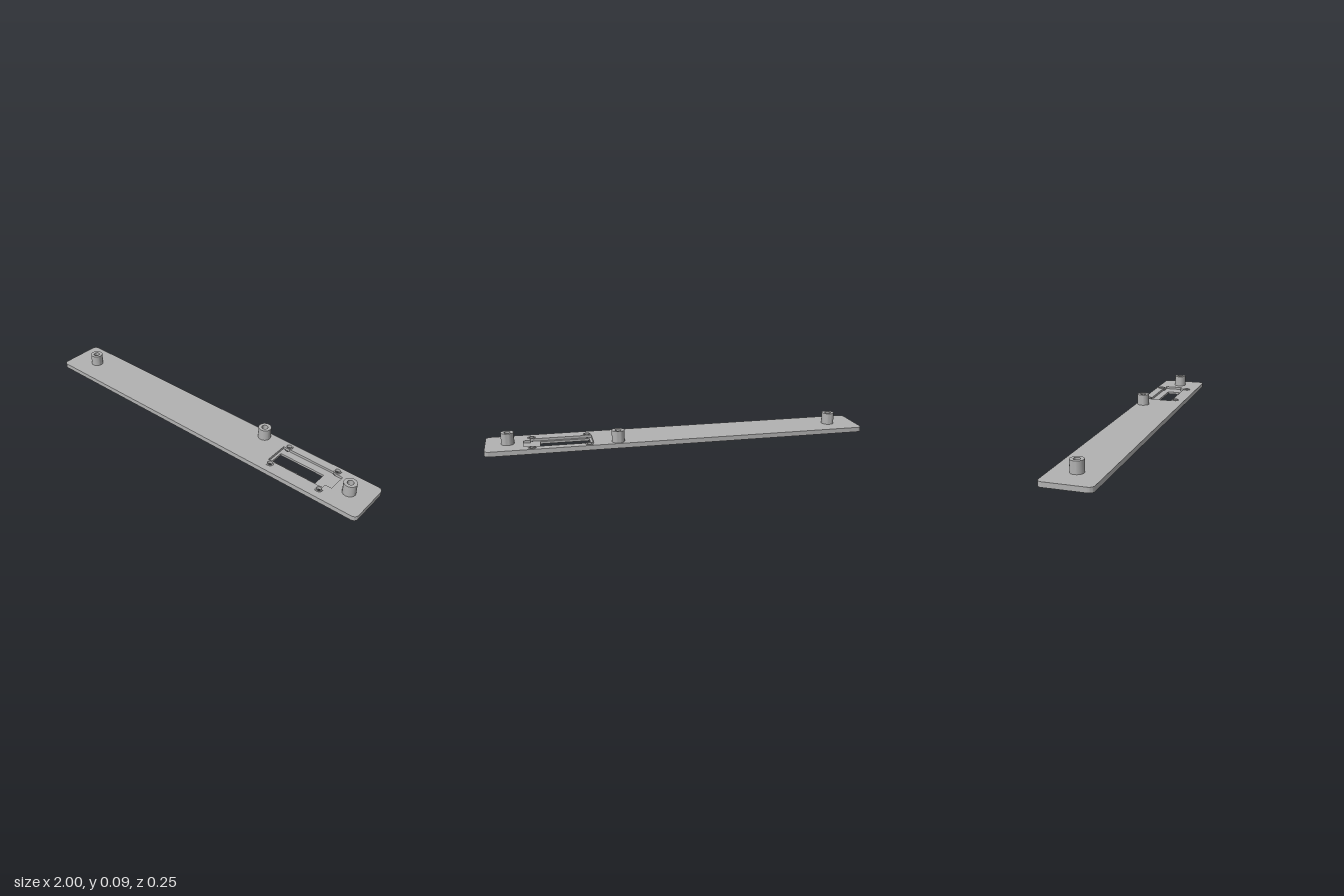
import * as THREE from 'three';
import { toCreasedNormals } from 'three/addons/utils/BufferGeometryUtils.js';

const V = (x, z) => new THREE.Vector2(x, z);
const POSTS = [[-0.85, -0.004], [0.335, -0.084], [0.887, -0.004]];
const SCREWS = [[0.483, -0.096], [0.768, -0.096], [0.483, 0.07], [0.768, 0.07]];
const GROOVE = 0.005, FLOOR = 0.012, TOP = 0.025;

// Circuit-like grooves on the underside, as (x, z) paths
const TRACES = [
  [[0.22, -0.037], [0, -0.037], [-0.035, -0.07], [-0.116, -0.07]],
  [[0.27, 0.03], [-0.03, 0.03], [-0.06, 0], [-0.2, 0]],
  [[0.14, 0.05], [0.1, 0.09], [0.02, 0.09], [0, 0.07], [-0.06, 0.07]],
  [[-0.05, 0.045], [-0.12, 0.045], [-0.165, 0.09], [-0.2, 0.09]],
  [[-0.09, -0.03], [-0.14, -0.03], [-0.2, -0.09], [-0.45, -0.09], [-0.48, -0.06]],
  [[-0.27, 0.034], [-0.317, 0.081], [-0.58, 0.081], [-0.605, 0.057], [-0.66, 0.057]],
  [[-0.31, 0.03], [-0.48, 0.03], [-0.52, -0.01], [-0.7, -0.01], [-0.73, 0.02]],
  [[-0.4, -0.005], [-0.47, -0.005], [-0.525, -0.06], [-0.74, -0.06]],
  [[-0.24, -0.035], [-0.42, -0.035]],
];

// Outline of a mitred strip along a path
function strip(path, half) {
  const p = path.map(([x, z]) => V(x, z)), left = [], right = [];
  p.forEach((q, i) => {
    const a = q.clone().sub(p[Math.max(i - 1, 0)]).normalize();
    const b = p[Math.min(i + 1, p.length - 1)].clone().sub(q).normalize();
    if (i === 0) a.copy(b);
    if (i === p.length - 1) b.copy(a);
    const n = V(-a.y - b.y, a.x + b.x).normalize();
    n.multiplyScalar(half / n.dot(V(-a.y, a.x)));
    left.push(q.clone().add(n));
    right.unshift(q.clone().sub(n));
  });
  return new THREE.Path([...left, ...right]);
}

const polygon = (pts) => new THREE.Path(pts.map(([x, z]) => V(x, z)));
const circle = ([x, z], r) => new THREE.Path().absarc(x, z, r, 0, Math.PI * 2, true);

// Rounded outline of the panel
function outline() {
  const s = new THREE.Shape(), w = 1, d = 0.125, r = 0.025;
  s.absarc(w - r, d - r, r, 0, Math.PI / 2);
  s.absarc(r - w, d - r, r, Math.PI / 2, Math.PI);
  s.absarc(r - w, r - d, r, Math.PI, Math.PI * 1.5);
  s.absarc(w - r, r - d, r, Math.PI * 1.5, Math.PI * 2);
  return s;
}

export function createModel() {
  const group = new THREE.Group();
  const grey = new THREE.MeshStandardMaterial({ color: 0xb2b2b2 });
  grey.name = 'grey plastic';

  const add = (name, geometry, x = 0, z = 0) => {
    const mesh = new THREE.Mesh(toCreasedNormals(geometry, 0.6), grey);
    mesh.name = name;
    mesh.position.set(x, 0, z);
    group.add(mesh);
  };

  const layer = (name, y0, y1, holes) => {
    const shape = outline();
    shape.holes.push(...holes);
    const g = new THREE.ExtrudeGeometry(shape, { depth: y1 - y0, bevelEnabled: false, curveSegments: 12 });
    g.rotateX(Math.PI / 2).translate(0, y1, 0);
    add(name, g);
  };

  const lathe = (pts) => new THREE.LatheGeometry(pts.map(([r, y]) => V(r, y)), 32);
  const tube = (ri, ro, y0, y1) => lathe([[ri, y0], [ro, y0], [ro, y1], [ri, y1], [ri, y0]]);

  // Panel in three layers: grooved underside, recess floor, recessed top
  const windowHole = () => polygon([[0.473, -0.04], [0.725, -0.04], [0.725, 0.034], [0.473, 0.034]]);
  const postHoles = () => POSTS.map((p) => circle(p, 0.016));
  const screwHoles = (r) => SCREWS.map((p) => circle(p, r));
  const recess = polygon([
    [0.46, -0.08], [0.768, -0.08], [0.768, -0.073], [0.81, -0.073],
    [0.81, 0.026], [0.775, 0.026], [0.775, 0.05], [0.46, 0.05],
  ]);
  layer('panelUnderside', 0, GROOVE,
    [windowHole(), ...postHoles(), ...screwHoles(0.022), ...TRACES.map((t) => strip(t, 0.004))]);
  layer('panelCore', GROOVE, FLOOR, [windowHole(), ...postHoles(), ...screwHoles(0.022)]);
  layer('panelTop', FLOOR, TOP, [recess, ...postHoles(), ...screwHoles(0.013)]);

  // Hollow mounting posts
  for (const [x, z] of POSTS) add('mountingPost', tube(0.016, 0.033, TOP, 0.085), x, z);

  // Raised screw collars with countersinks below
  for (const [x, z] of SCREWS) {
    add('screwCollar', tube(0.013, 0.02, FLOOR, 0.028), x, z);
    add('countersink', lathe([[0.013, FLOOR], [0.022, 0]]), x, z);
  }
  return group;
}
